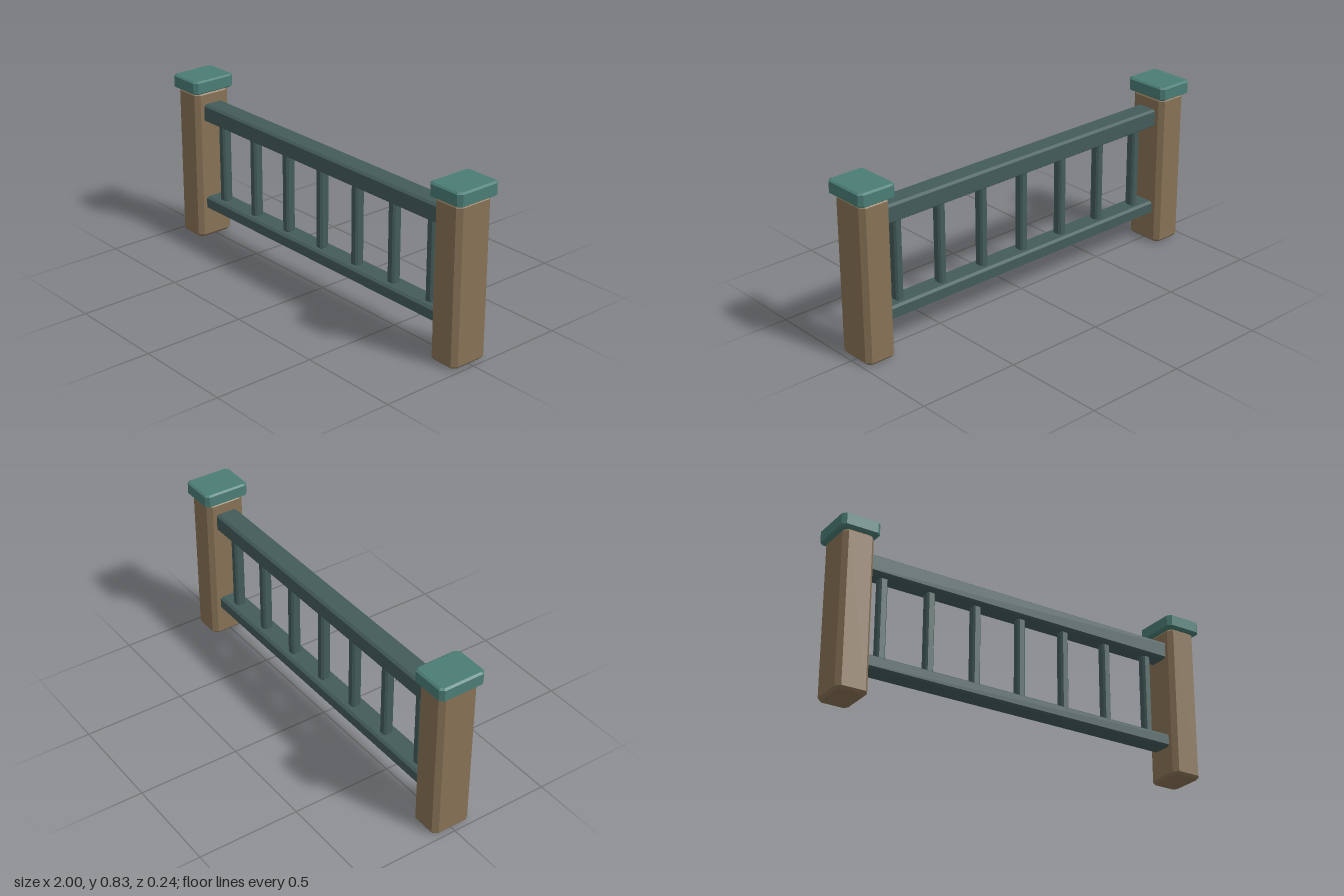
import * as THREE from 'three';

const wood = new THREE.MeshStandardMaterial({ color: 0x877256, flatShading: true });
const capPaint = new THREE.MeshStandardMaterial({ color: 0x4b7d75, flatShading: true });
const railPaint = new THREE.MeshStandardMaterial({ color: 0x435c5a, flatShading: true });

// Bar along z with an octagonal (chamfered) w x h section and bevelled ends, centred on the origin
function chamferedBar(w, h, length, cx, cy, endThickness, endInset) {
  const x = w / 2, y = h / 2;
  const section = new THREE.Shape([
    [x, -y + cy], [x, y - cy], [x - cx, y], [-x + cx, y],
    [-x, y - cy], [-x, -y + cy], [-x + cx, -y], [x - cx, -y],
  ].map(([a, b]) => new THREE.Vector2(a, b)));
  const geometry = new THREE.ExtrudeGeometry(section, {
    depth: length - 2 * endThickness,
    bevelEnabled: true,
    bevelSegments: 1,
    bevelThickness: endThickness,
    bevelSize: endInset,
    bevelOffset: -endInset,
  });
  return geometry.translate(0, 0, -length / 2 + endThickness);
}

export function createModel() {
  const fence = new THREE.Group();
  fence.name = 'fence';

  const add = (name, geometry, material, x, y) => {
    const mesh = new THREE.Mesh(geometry, material);
    mesh.name = name;
    mesh.position.set(x, y, 0);
    fence.add(mesh);
  };

  // Posts with overhanging caps
  const post = chamferedBar(0.156, 0.2, 0.767, 0.02, 0.024, 0.013, 0.012).rotateX(-Math.PI / 2);
  const cap = chamferedBar(0.192, 0.236, 0.067, 0.018, 0.018, 0.007, 0.01).rotateX(-Math.PI / 2);
  for (const [side, sign] of [['left', 1], ['right', -1]]) {
    add(side + 'Post', post, wood, sign * 0.903, 0.3835);
    add(side + 'PostCap', cap, capPaint, sign * 0.904, 0.7995);
  }

  // Rails running through both posts
  const topRail = chamferedBar(0.112, 0.09, 1.95, 0.013, 0.009, 0.006, 0.005).rotateY(Math.PI / 2);
  const bottomRail = chamferedBar(0.112, 0.066, 1.95, 0.013, 0.009, 0.006, 0.005).rotateY(Math.PI / 2);
  add('topRail', topRail, railPaint, 0, 0.66);
  add('bottomRail', bottomRail, railPaint, 0, 0.183);

  // Balusters
  const baluster = chamferedBar(0.042, 0.05, 0.405, 0.008, 0.01, 0.006, 0.005).rotateX(-Math.PI / 2);
  for (let i = -3; i <= 3; i++) add('baluster' + (i + 4), baluster, railPaint, i * 0.245, 0.4145);

  return fence;
}
